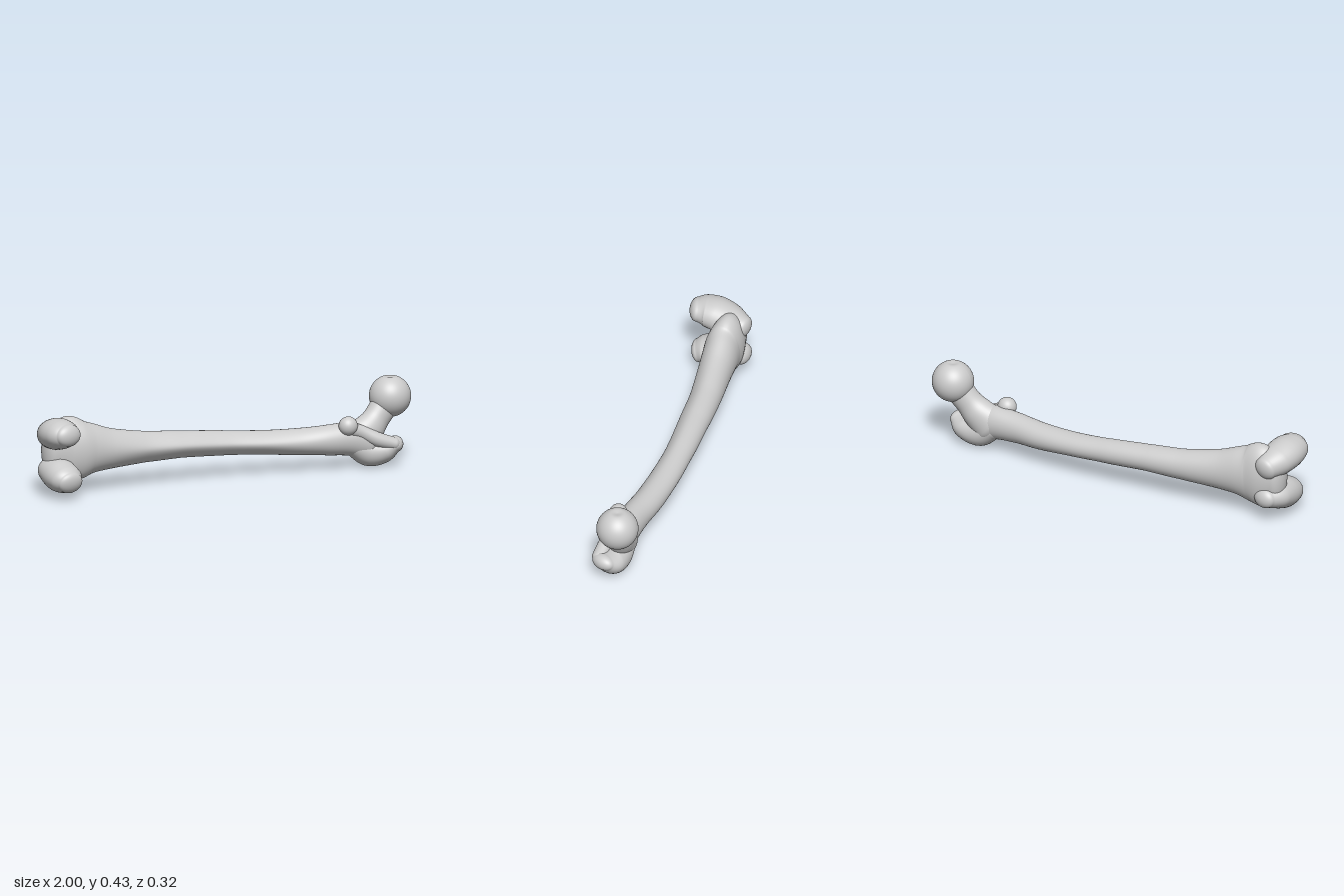
import * as THREE from 'three';
import { mergeVertices } from 'three/addons/utils/BufferGeometryUtils.js';

const bone = new THREE.MeshStandardMaterial({ color: 0xcccccc });

// Smooth closed loft. Station: [x, y, z, radius toward +y, radius sideways, ridge].
// Ridge (0..1) pinches the section toward its sideways axis; the ends get domed caps.
function loft(stations, capStart, capEnd, steps = 10, sides = 40) {
  const spine = new THREE.CatmullRomCurve3(stations.map(([x, y, z]) => new THREE.Vector3(x, y, z)));
  const sizes = new THREE.CatmullRomCurve3(stations.map(([, , , a, b, k = 0]) => new THREE.Vector3(a, b, k)));
  const rings = [];
  const capSteps = 10;
  const addRing = (t, shift, scale) => {
    const along = spine.getTangent(t);
    const up = new THREE.Vector3(0, 1, 0).addScaledVector(along, -along.y).normalize();
    const side = along.clone().cross(up);
    rings.push({ center: spine.getPoint(t).addScaledVector(along, shift), size: sizes.getPoint(t), up, side, scale });
  };
  for (let i = 0; i < capSteps; i++) {
    const a = (1 - i / capSteps) * Math.PI / 2;
    addRing(0, -capStart * Math.sin(a), Math.cos(a));
  }
  const n = (stations.length - 1) * steps;
  for (let i = 0; i <= n; i++) addRing(i / n, 0, 1);
  for (let i = 1; i <= capSteps; i++) {
    const a = (i / capSteps) * Math.PI / 2;
    addRing(1, capEnd * Math.sin(a), Math.cos(a));
  }

  const positions = [];
  const index = [];
  rings.forEach(({ center, size, up, side, scale }, i) => {
    for (let j = 0; j < sides; j++) {
      const a = (j / sides) * Math.PI * 2;
      const pinch = 1 - size.z * Math.max(0, Math.sin(a)) ** 2;
      const p = center.clone()
        .addScaledVector(up, Math.cos(a) * size.x * scale * pinch)
        .addScaledVector(side, Math.sin(a) * size.y * scale);
      positions.push(p.x, p.y, p.z);
      if (i === rings.length - 1) continue;
      const k = (j + 1) % sides;
      const [p0, p1, q0, q1] = [i * sides + j, i * sides + k, (i + 1) * sides + j, (i + 1) * sides + k];
      index.push(p0, p1, q0, p1, q1, q0);
    }
  });
  const geometry = new THREE.BufferGeometry();
  geometry.setAttribute('position', new THREE.Float32BufferAttribute(positions, 3));
  geometry.setIndex(index);
  const welded = mergeVertices(geometry, 1e-6);
  welded.computeVertexNormals();
  return welded;
}

// Ball of the joint with a shallow pit on top
function headGeometry(radius) {
  const geometry = new THREE.SphereGeometry(radius, 48, 36);
  const pos = geometry.attributes.position;
  for (let i = 0; i < pos.count; i++) {
    const fromTop = Math.hypot(pos.getX(i), pos.getZ(i)) / radius;
    if (pos.getY(i) > 0) {
      pos.setY(i, pos.getY(i) - 0.011 * (1 - THREE.MathUtils.smoothstep(fromTop, 0, 0.4)));
    }
  }
  geometry.computeVertexNormals();
  return geometry;
}

export function createModel() {
  const group = new THREE.Group();
  group.name = 'thighBone';
  const add = (name, geometry) => {
    const mesh = new THREE.Mesh(geometry, bone);
    mesh.name = name;
    group.add(mesh);
    return mesh;
  };

  // Bowed shaft, flaring wide at the knee end, with a ridge along its +z side
  add('shaft', loft([
    [-0.90, 0.215, -0.060, 0.135, 0.070, 0],
    [-0.82, 0.215, -0.060, 0.165, 0.084, 0],
    [-0.76, 0.210, -0.052, 0.150, 0.088, 0],
    [-0.70, 0.208, -0.056, 0.127, 0.087, 0.05],
    [-0.60, 0.198, -0.062, 0.102, 0.083, 0.15],
    [-0.40, 0.186, -0.076, 0.077, 0.077, 0.35],
    [-0.20, 0.180, -0.079, 0.066, 0.074, 0.40],
    [0.00, 0.168, -0.079, 0.062, 0.070, 0.40],
    [0.20, 0.155, -0.067, 0.059, 0.072, 0.35],
    [0.40, 0.145, -0.043, 0.066, 0.073, 0.20],
    [0.55, 0.145, -0.017, 0.075, 0.071, 0.05],
    [0.68, 0.143, -0.006, 0.086, 0.070, 0],
    [0.76, 0.125, 0.000, 0.090, 0.070, 0],
  ], 0.05, 0.05, 8, 48));

  // Two rounded knuckles of the knee joint, running back to front
  add('innerCondyle', loft([
    [-0.875, 0.285, -0.12, 0.058, 0.060],
    [-0.890, 0.300, -0.05, 0.075, 0.090],
    [-0.905, 0.315, 0.02, 0.078, 0.095],
    [-0.905, 0.322, 0.08, 0.070, 0.090],
    [-0.895, 0.325, 0.12, 0.055, 0.070],
  ], 0.035, 0.038));
  add('outerCondyle', loft([
    [-0.870, 0.125, -0.12, 0.050, 0.060],
    [-0.885, 0.120, -0.05, 0.070, 0.090],
    [-0.890, 0.105, 0.02, 0.078, 0.090],
    [-0.885, 0.095, 0.08, 0.068, 0.085],
    [-0.880, 0.087, 0.11, 0.054, 0.067],
  ], 0.038, 0.032));

  // Hip end: neck rising to the ball
  add('neck', loft([
    [0.70, 0.125, -0.010, 0.100, 0.070],
    [0.77, 0.180, -0.015, 0.082, 0.068],
    [0.82, 0.235, -0.025, 0.068, 0.061],
    [0.88, 0.310, -0.038, 0.072, 0.066],
  ], 0.05, 0.02));
  add('head', headGeometry(0.103)).position.set(0.896, 0.331, -0.039);

  // Bony knobs beside the neck and the crest joining them
  add('greaterTrochanter', loft([
    [0.68, 0.110, -0.010, 0.052, 0.060],
    [0.77, 0.074, 0.000, 0.074, 0.074],
    [0.84, 0.080, 0.014, 0.064, 0.080],
    [0.89, 0.106, 0.035, 0.040, 0.062],
  ], 0.05, 0.04));
  add('trochanterCrest', loft([
    [0.63, 0.210, 0.030, 0.040, 0.036],
    [0.71, 0.180, 0.040, 0.034, 0.030],
    [0.79, 0.140, 0.055, 0.036, 0.035],
    [0.87, 0.115, 0.060, 0.032, 0.038],
  ], 0.03, 0.03));
  const knob = add('lesserTrochanter', new THREE.SphereGeometry(0.045, 32, 24));
  knob.position.set(0.638, 0.218, 0.038);
  knob.scale.set(1.05, 1.05, 1);

  return group;
}
